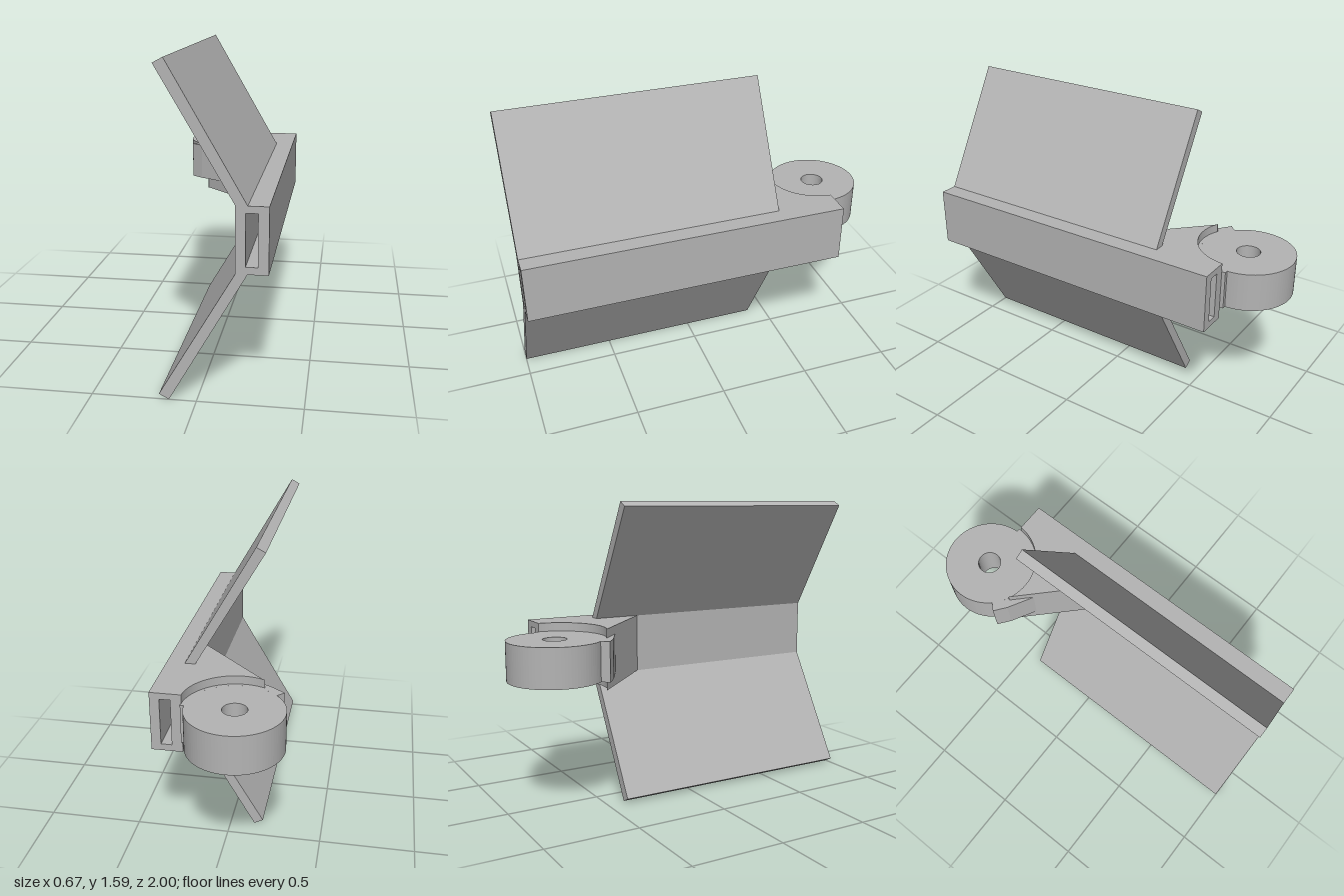
import * as THREE from 'three';

export function createModel() {
  const model = new THREE.Group();
  const grey = new THREE.MeshStandardMaterial({ color: 0xb4b4b4 });
  grey.name = 'plain grey';

  const polygon = (points) => new THREE.Shape(points.map(([x, y]) => new THREE.Vector2(x, y)));
  const add = (name, geometry) => {
    const mesh = new THREE.Mesh(geometry, grey);
    mesh.name = name;
    model.add(mesh);
  };
  const extrude = (shape, depth) =>
    new THREE.ExtrudeGeometry(shape, { depth, bevelEnabled: false, curveSegments: 48 });
  // Profile in x/y, running along z
  const along = (name, shape, z0, z1) => add(name, extrude(shape, z1 - z0).translate(0, 0, z0));
  // Plan in x/-z, rising along y
  const rise = (name, shape, y0, y1) =>
    add(name, extrude(shape, y1 - y0).rotateX(-Math.PI / 2).translate(0, y0, 0));

  // Hollow rectangular rail
  const low = 0.635, high = 0.95;
  const rail = polygon([[0.18, low], [0.33, low], [0.33, high], [0.18, high]]);
  rail.holes.push(polygon([[0.226, 0.67], [0.226, 0.917], [0.281, 0.917], [0.281, 0.67]]));
  along('rail', rail, -0.74, 1);

  // Slanted plates, mirrored above and below the rail
  const wing = [[0.18, high], [0.235, high], [-0.13, 1.585], [-0.177, 1.56]];
  along('upperWing', polygon(wing), -0.4, 1);
  along('lowerWing', polygon(wing.map(([x, y]) => [x, 1.585 - y]).reverse()), -0.4, 1);

  // Gusset with a round recess for the roller
  const cx = -0.09, cy = 0.755;
  const gusset = new THREE.Shape();
  gusset.moveTo(0.18, 0.15);
  gusset.lineTo(-0.195, 0.52);
  gusset.absarc(cx, cy, 0.262, Math.atan2(-0.235, -0.105), -0.06, false);
  gusset.lineTo(0.18, 0.74);
  rise('gusset', gusset, low, high);

  // Cradle lip hugging the roller
  const lip = new THREE.Shape();
  lip.moveTo(-0.1, 0.425);
  lip.lineTo(-0.235, 0.5);
  lip.lineTo(-0.3, 0.55);
  lip.lineTo(-0.265, 0.585);
  lip.absarc(cx, cy, 0.245, -2.36, 0.02, false);
  lip.lineTo(0.174, 0.76);
  lip.lineTo(0.174, 0.74);
  lip.absarc(cx, cy, 0.27, -0.06, -1.8, true);
  rise('cradleLip', lip, 0.7, 0.905);

  // Roller with a bore, as a smooth lathe with crisp edges
  const ring = new THREE.Shape().absarc(cx, cy, 0.245, 0, Math.PI * 2, false);
  ring.holes.push(new THREE.Path().absarc(cx, cy, 0.062, 0, Math.PI * 2, true));
  rise('roller', ring, 0.7, 0.905);

  return model;
}
